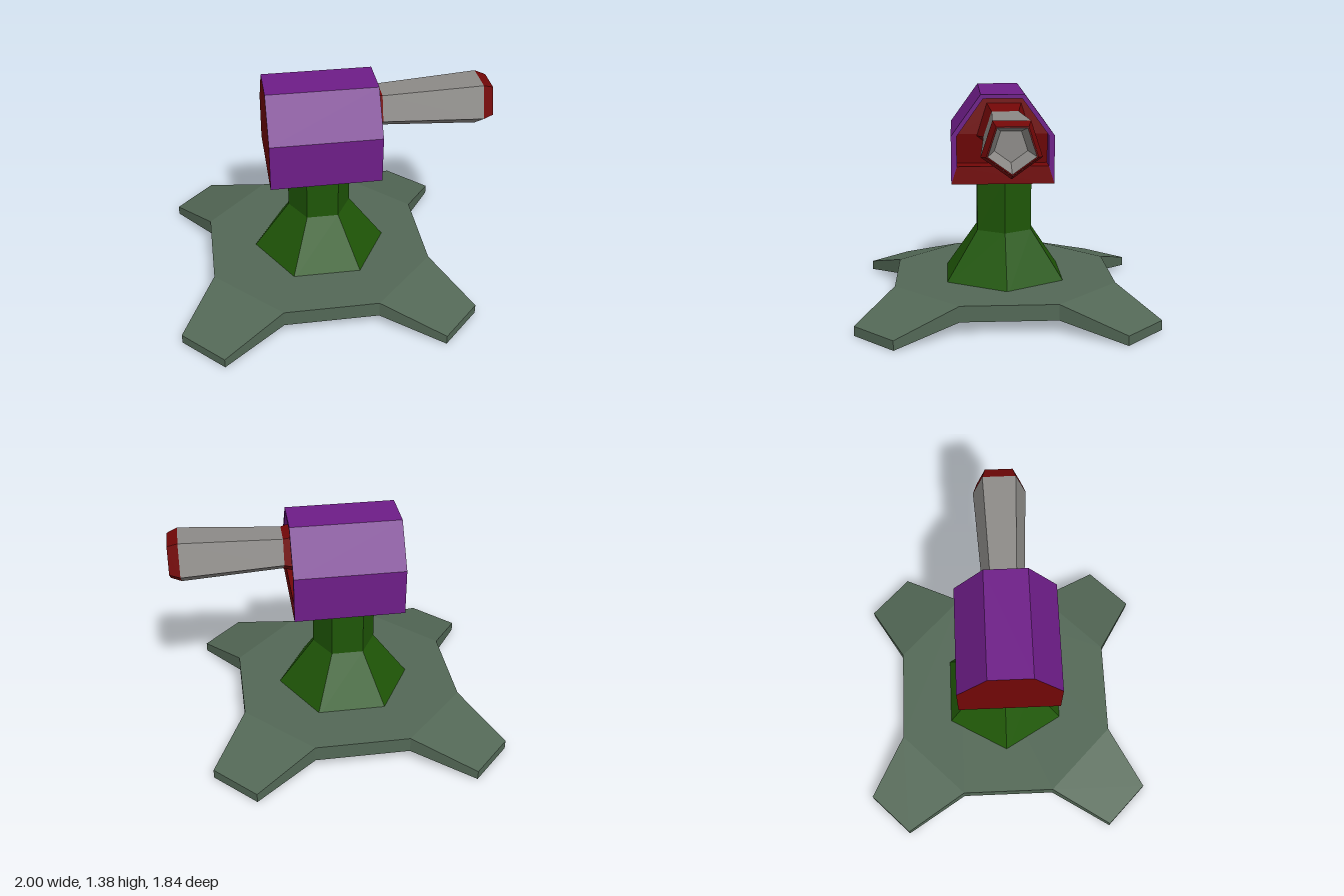
import * as THREE from 'three';

const paint = (name, color, side = THREE.FrontSide) => {
  const m = new THREE.MeshStandardMaterial({ color, flatShading: true, side });
  m.name = name;
  return m;
};

// Flat polygons (lists of [x, y, z] corners) fanned into triangles
function polygons(faces) {
  const pos = [];
  for (const f of faces) {
    for (let i = 1; i < f.length - 1; i++) pos.push(...f[0], ...f[i], ...f[i + 1]);
  }
  const g = new THREE.BufferGeometry();
  g.setAttribute('position', new THREE.Float32BufferAttribute(pos, 3));
  g.computeVertexNormals();
  return g;
}

export function createModel() {
  const model = new THREE.Group();
  model.name = 'turret';
  const stone = paint('greyGreen', 0x536856, THREE.DoubleSide);
  const green = paint('green', 0x1f5607, THREE.DoubleSide);
  const purple = paint('purple', 0x6e1d88);
  const red = paint('red', 0x720707);
  const steel = paint('steel', 0x8c8a87, THREE.DoubleSide);

  const add = (name, geometry, material) => {
    const mesh = new THREE.Mesh(geometry, material);
    mesh.name = name;
    model.add(mesh);
    return mesh;
  };

  // Base plate: a hollow octagonal shell with four sloping feet, open below
  const quarter = [[0.696, 0.295], [0.918, 0.672], [0.672, 0.918], [0.295, 0.696]];
  const outline = [];
  for (let k = 0; k < 4; k++) {
    quarter.forEach(([x, z], i) => {
      const [px, pz] = [[x, z], [-z, x], [-x, -z], [z, -x]][k];
      outline.push({ x: px, z: pz, foot: i === 1 || i === 2 });
    });
  }
  const top = outline.map(p => [p.x, p.foot ? 0.06 : 0.18, p.z]);
  const bottom = outline.map(p => [p.x, p.foot ? 0 : 0.08, p.z]);
  const faces = [top.filter((p, i) => !outline[i].foot).reverse()];
  for (let i = 0; i < 16; i++) {
    const j = (i + 1) % 16;
    faces.push([bottom[j], bottom[i], top[i], top[j]]);
    if (i % 4 === 0) faces.push(top.slice(i, i + 4).reverse());
  }
  add('basePlate', polygons(faces), stone).position.x = -0.082;

  // Hexagonal pedestal, its foot poking slightly through the plate
  const hex = (name, rTop, rBottom, y0, y1) => {
    const g = new THREE.CylinderGeometry(rTop, rBottom, y1 - y0, 6, 1, true, Math.PI / 2);
    add(name, g.translate(-0.064, (y0 + y1) / 2, 0), green);
  };
  hex('pedestalFoot', 0.199, 0.447, 0.15, 0.49);
  hex('pedestalColumn', 0.199, 0.199, 0.49, 0.85);

  // Housing: six-sided shell with a flat rim around a recess at the barrel end
  const ring = (x, section) => section.map(([y, z]) => [x, y, z]);
  const outer = [[0.84, 0.335], [0.84, -0.293], [1.135, -0.293], [1.385, -0.11], [1.385, 0.155], [1.135, 0.335]];
  const inset = [[0.95, 0.3], [0.95, -0.258], [1.135, -0.258], [1.36, -0.095], [1.36, 0.14], [1.135, 0.3]];
  const back = ring(-0.4, outer), front = ring(0.28, outer), lip = ring(0.28, inset);
  const depth = [0.16, 0.16, 0.19, 0.18, 0.18, 0.19];
  const floor = inset.map(([y, z], i) => [depth[i], y, z]);
  const shell = [], face = [];
  for (let i = 0; i < 6; i++) {
    const j = (i + 1) % 6;
    shell.push([front[i], back[i], back[j], front[j]]);
    (i === 0 ? face : shell).push([front[j], lip[j], lip[i], front[i]], [lip[j], floor[j], floor[i], lip[i]]);
  }
  face.push([floor[0], floor[1], floor[2], floor[5]], [floor[5], floor[2], floor[3], floor[4]]);
  add('housingShell', polygons(shell), purple);
  add('housingFace', polygons(face), red);
  add('housingBack', polygons([back.slice().reverse()]), red);

  // Five-sided barrel pointing to +x, one corner down
  const tube = (name, x0, r0, x1, r1, material) => {
    const g = new THREE.CylinderGeometry(r1, r0, x1 - x0, 5, 1, true, Math.PI / 2);
    add(name, g.rotateZ(-Math.PI / 2).translate((x0 + x1) / 2, 1.178, 0.01), material);
  };
  tube('barrelCollar', 0.16, 0.185, 0.315, 0.137, red);
  tube('barrel', 0.315, 0.137, 0.935, 0.175, steel);
  tube('muzzle', 0.935, 0.175, 1, 0.146, red);
  tube('muzzleRim', 0.999, 0.146, 1, 0.137, red);
  tube('bore', 0.88, 0.095, 1, 0.137, steel);
  const end = new THREE.CircleGeometry(0.095, 5, -Math.PI / 2).rotateY(Math.PI / 2);
  add('boreEnd', end.translate(0.88, 1.178, 0.01), steel);

  return model;
}
